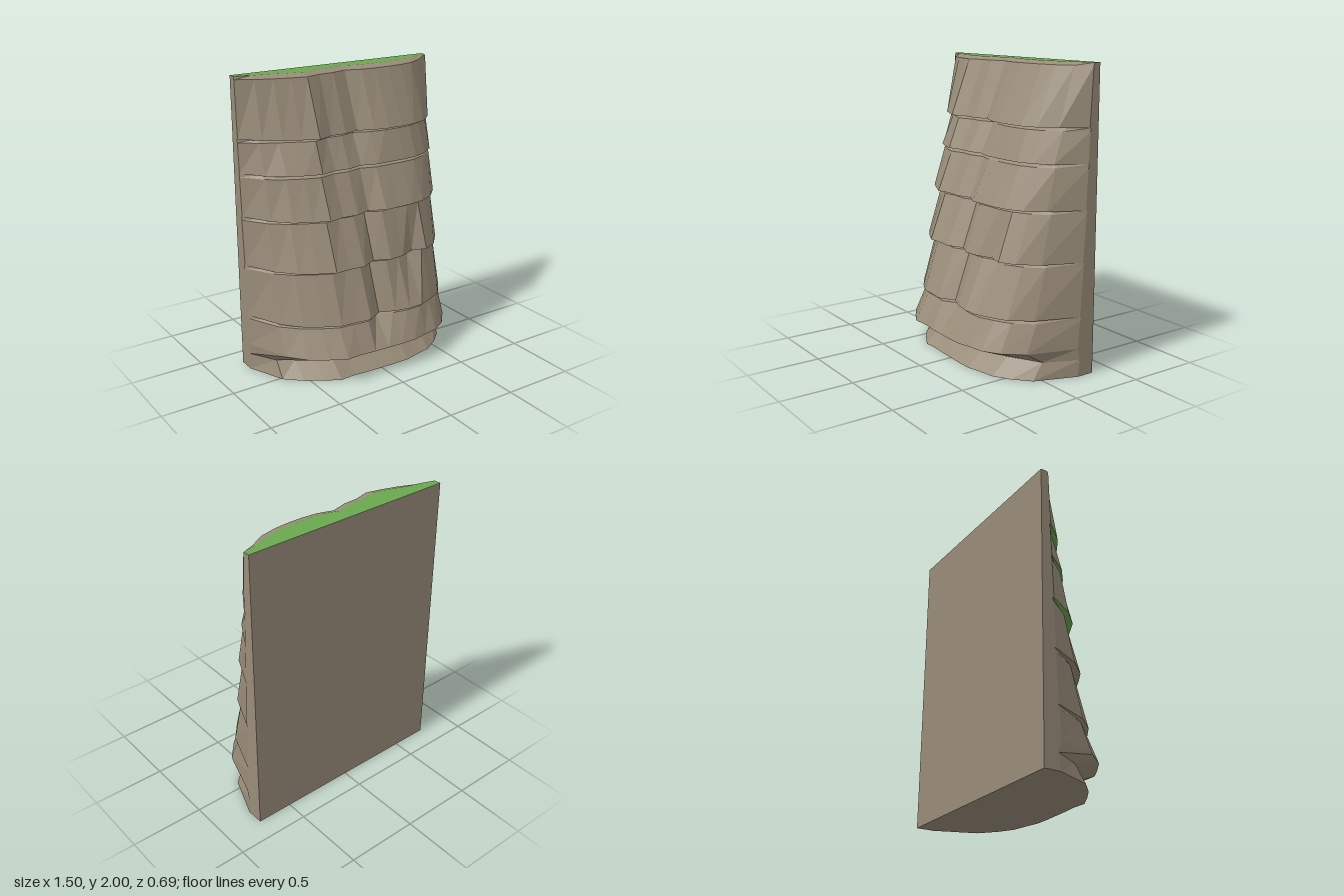
import * as THREE from 'three';

const COLS = 15, HALF = 0.75, BACK = -0.35;
const xAt = (i) => -HALF + (2 * HALF * i) / (COLS - 1);

// Overhanging lip of each rock layer: height, depth z of every column from left to right
const LIPS = [
  { y: 0.19, z: [-0.23, 0.07, 0.20, 0.27, 0.33, 0.325, 0.335, 0.34, 0.345, 0.345, 0.32, 0.30, 0.235, 0.11, -0.22] },
  { y: 0.40, z: [-0.24, 0.01, 0.13, 0.20, 0.255, 0.265, 0.28, 0.215, 0.26, 0.28, 0.275, 0.235, 0.18, 0.05, -0.235] },
  { y: 0.755, z: [-0.255, -0.04, 0.08, 0.145, 0.20, 0.195, 0.205, 0.15, 0.20, 0.19, 0.145, 0.175, 0.12, 0.0, -0.25] },
  { y: 1.09, z: [-0.265, -0.08, 0.03, 0.085, 0.135, 0.115, 0.125, 0.09, 0.145, 0.14, 0.14, 0.12, 0.07, -0.04, -0.265] },
  { y: 1.38, z: [-0.275, -0.125, -0.04, 0.01, 0.045, 0.02, 0.03, 0.005, 0.04, 0.04, 0.04, 0.03, -0.01, -0.09, -0.275] },
  { y: 1.605, z: [-0.28, -0.155, -0.08, -0.03, 0.02, -0.02, -0.015, -0.045, 0.0, 0.02, 0.02, 0.01, -0.03, -0.12, -0.28] },
];
const RIM = [-0.295, -0.23, -0.185, -0.15, -0.125, -0.155, -0.16, -0.19, -0.155, -0.145, -0.145, -0.155, -0.18, -0.24, -0.30];

// A row of points set back from a lip, less so toward the sides
function row(y, depths, setBack = 0) {
  return depths.map((z, i) => {
    const fromSide = Math.min(i, COLS - 1 - i);
    const k = fromSide === 0 ? 0.1 : fromSide === 1 ? 0.65 : 1;
    return [xAt(i), y, z - setBack * k];
  });
}
const backRow = (y) => row(y, new Array(COLS).fill(BACK));

// Skin joining consecutive rows, lower row first
function skin(rows) {
  const pos = [];
  for (let r = 0; r < rows.length - 1; r++) {
    for (let i = 0; i < rows[r].length - 1; i++) {
      const a = rows[r][i], b = rows[r][i + 1], c = rows[r + 1][i + 1], d = rows[r + 1][i];
      pos.push(...a, ...b, ...c, ...a, ...c, ...d);
    }
  }
  const geo = new THREE.BufferGeometry();
  geo.setAttribute('position', new THREE.Float32BufferAttribute(pos, 3));
  geo.computeVertexNormals();
  return geo;
}

export function createModel() {
  const group = new THREE.Group();
  const rock = new THREE.MeshStandardMaterial({ color: 0x998c79, flatShading: true });
  rock.name = 'rock';
  const grass = new THREE.MeshStandardMaterial({ color: 0x6aa84f, flatShading: true });
  grass.name = 'grass';
  const add = (name, rows, material) => {
    const mesh = new THREE.Mesh(skin(rows), material);
    mesh.name = name;
    group.add(mesh);
  };

  // Foot of the cliff with its undercut
  const first = LIPS[0];
  const foot = [row(0, first.z, 0.085), row(0.11, first.z, 0.2), row(first.y, first.z)];
  add('foot', foot, rock);
  const outline = [...foot];

  // Leaning layers, each tucked under the lip of the next
  LIPS.forEach((lip, n) => {
    const next = LIPS[n + 1];
    const start = row(lip.y, lip.z);
    if (!next) {
      const face = [start, row(1.98, RIM), row(2, RIM, 0.06)];
      add('topLayer', face, rock);
      outline.push(...face);
      return;
    }
    const shoulder = n === 0 ? 0.03 : n === 3 ? 0.02 : 0.055;
    const inner = row(next.y, next.z, n === 3 ? 0.06 : 0.1);
    const face = [start, row(next.y - 0.024, next.z, shoulder), inner];
    add('layer' + (n + 1), face, rock);
    add('lipUnderside' + (n + 1), [inner, row(next.y, next.z)], n >= 2 ? grass : rock);
    outline.push(...face);
  });

  // Narrow side walls, flat back and underside
  const edge = (i) => outline.map((r) => r[i]);
  const toBack = (p) => [p[0], p[1], BACK];
  add('leftSide', edge(COLS - 1).map((p) => [p, toBack(p)]), rock);
  add('rightSide', edge(0).map((p) => [toBack(p), p]), rock);
  add('back', [[[HALF, 0, BACK], [-HALF, 0, BACK]], [[HALF, 2, BACK], [-HALF, 2, BACK]]], rock);
  add('underside', [backRow(0), outline[0]], rock);

  // Grass on the flat top
  add('grassTop', [outline[outline.length - 1], backRow(2)], grass);
  return group;
}
